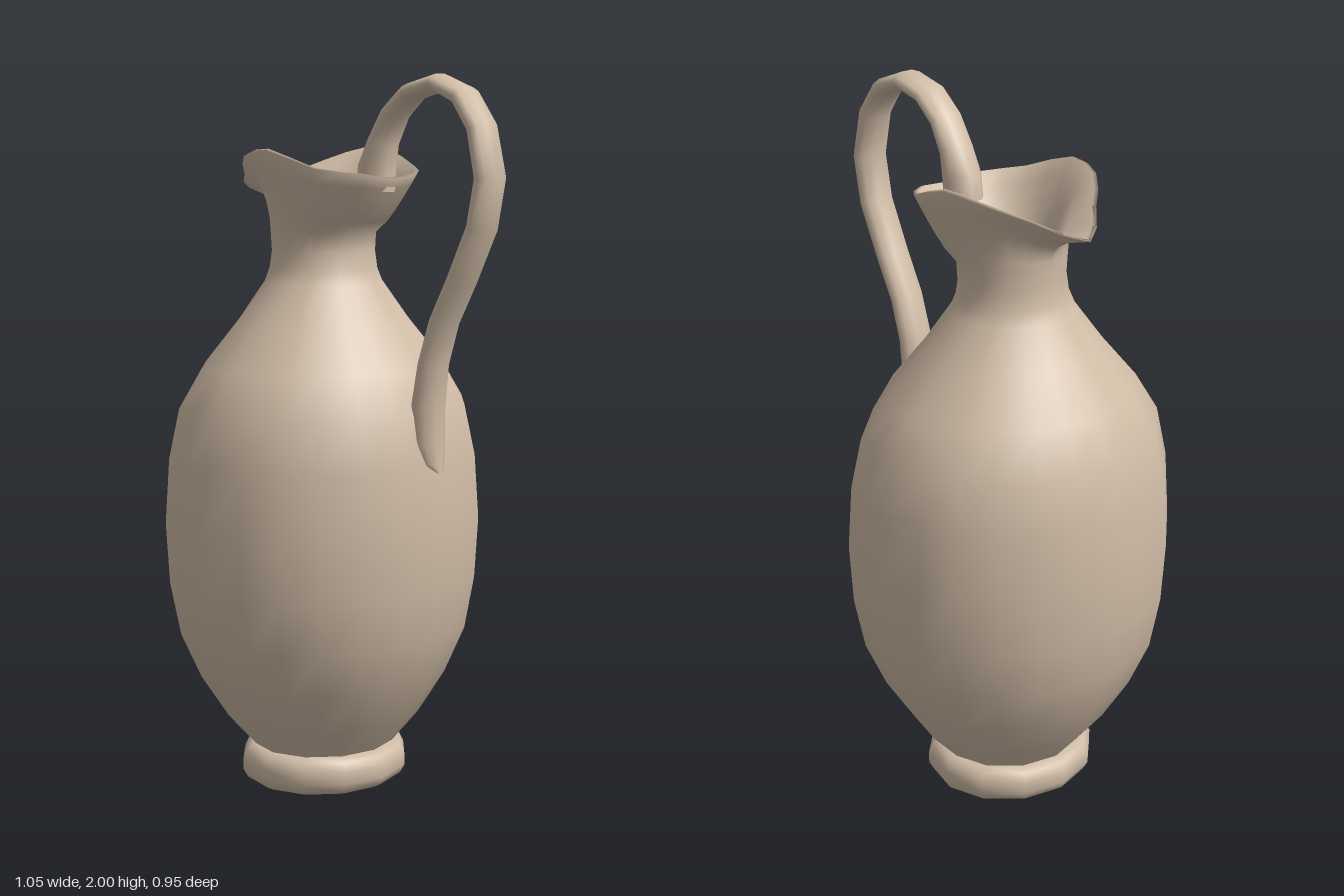
import * as THREE from 'three';

const SIDES = 24, CX = -0.1;

// Closed skin over rings of [x, y, z] points; the rings run upward with outward faces
function skin(rings, material, name) {
  const n = rings[0].length, index = [];
  for (let j = 0; j < rings.length - 1; j++)
    for (let i = 0; i < n; i++) {
      const k = (i + 1) % n;
      const a = j * n + i, b = j * n + k, c = a + n, d = b + n;
      index.push(a, c, b, b, c, d);
    }
  const g = new THREE.BufferGeometry();
  g.setAttribute('position', new THREE.Float32BufferAttribute(rings.flat(2), 3));
  g.setIndex(index);
  g.computeVertexNormals();
  const mesh = new THREE.Mesh(g, material);
  mesh.name = name;
  return mesh;
}

// Elliptical ring; the odd columns lie on the edges of a twelve-sided polygon
function ring(y, rx, rz) {
  return Array.from({ length: SIDES }, (_, i) => {
    const t = (i / SIDES) * Math.PI * 2, f = i % 2 ? Math.cos(Math.PI / 12) : 1;
    return [CX + rx * f * Math.cos(t), y, rz * f * Math.sin(t)];
  });
}

// Rim line from the handle side round to the spout, mirrored in z
const half = [[0.165, 1.72, 0], [0.15, 1.732, 0.105], [0.06, 1.748, 0.205], [-0.09, 1.797, 0.238],
  [-0.2, 1.78, 0.21], [-0.3, 1.73, 0.11], [-0.39, 1.682, 0]];
const rimPoints = [...half, ...half.slice(1, -1).reverse().map(([x, y, z]) => [x, y, -z])];
const rimCurve = new THREE.CatmullRomCurve3(rimPoints.map(p => new THREE.Vector3(...p)), true);
const rim = Array.from({ length: SIDES }, (_, i) => rimCurve.getPoint(i / SIDES).toArray());

// Flare from a neck ring towards the rim; the spout flares latest
function flare(neck, edge, v) {
  return neck.map((p, i) => {
    const k = (1 - Math.cos((i / SIDES) * Math.PI * 2)) / 2;
    const h = Math.pow(v, 0.75 + 3 * k ** 3);
    const q = edge[i];
    return [p[0] + (q[0] - p[0]) * h, p[1] + (q[1] - p[1]) * v, p[2] + (q[2] - p[2]) * h];
  });
}

function makeVessel(material) {
  // y, half width in x, half width in z
  const profile = [[0.09, 0.18, 0.195], [0.2, 0.268, 0.295], [0.32, 0.34, 0.375], [0.45, 0.395, 0.435],
    [0.6, 0.42, 0.467], [0.77, 0.43, 0.477], [0.95, 0.418, 0.465], [1.09, 0.388, 0.435],
    [1.2, 0.33, 0.365], [1.32, 0.237, 0.262], [1.43, 0.165, 0.178], [1.47, 0.151, 0.16], [1.52, 0.145, 0.152]];
  const outer = profile.map(p => ring(...p));
  const neck = ring(1.57, 0.148, 0.155);
  const inset = rim.map(([x, y, z]) => [CX + (x - CX) * 0.95, y + 0.004, z * 0.95]);
  const throat = ring(1.54, 0.1, 0.09);
  const steps = [0.2, 0.4, 0.6, 0.8];
  const rings = [
    ...outer, neck,
    ...steps.map(v => flare(neck, rim, v)), rim, inset,
    ...steps.slice().reverse().map(v => flare(throat, inset, v)), throat,
    ring(1.45, 0.11, 0.11),
    // inner wall and floor
    ...profile.slice(1, 10).reverse().map(([y, rx, rz]) => ring(y, rx - 0.05, rz - 0.05)),
    ring(0.14, 0.14, 0.15), ring(0.14, 0.0001, 0.0001),
  ];
  return skin(rings, material, 'vessel');
}

function makeHandle(material) {
  // x, y, half thickness, half width
  const path = [[0.095, 1.69, 0.06, 0.05], [0.1, 1.75, 0.055, 0.052], [0.123, 1.82, 0.035, 0.052],
    [0.165, 1.895, 0.028, 0.052], [0.23, 1.952, 0.025, 0.053], [0.32, 1.975, 0.025, 0.053],
    [0.405, 1.94, 0.028, 0.053], [0.462, 1.86, 0.03, 0.053], [0.491, 1.73, 0.033, 0.053],
    [0.466, 1.6, 0.033, 0.053], [0.4, 1.46, 0.032, 0.053], [0.34, 1.345, 0.031, 0.053],
    [0.304, 1.23, 0.033, 0.053], [0.286, 1.11, 0.042, 0.053], [0.29, 1.01, 0.038, 0.05],
    [0.305, 0.96, 0.026, 0.035], [0.33, 0.935, 0.004, 0.01]];
  const n = 10;
  const rings = path.map(([x, y, thick, wide], j) => {
    const a = path[Math.max(j - 1, 0)], b = path[Math.min(j + 1, path.length - 1)];
    // the lower end stays level as it sinks into the wall
    const t = j > 12 ? new THREE.Vector2(0, -1) : new THREE.Vector2(b[0] - a[0], b[1] - a[1]).normalize();
    return Array.from({ length: n }, (_, i) => {
      const s = ((i + 0.5) / n) * Math.PI * 2, c = Math.cos(s) * thick;
      return [x + t.y * c, y - t.x * c, (Math.sin(s) * wide)];
    });
  });
  return skin(rings, material, 'handle');
}

function makeFoot(material) {
  const foot = new THREE.Group();
  foot.name = 'foot';
  const pts = [[0.215, 0], [0.237, 0.012], [0.25, 0.035], [0.25, 0.07], [0.237, 0.095], [0.215, 0.108], [0.16, 0.11]];
  const band = new THREE.Mesh(new THREE.LatheGeometry(pts.map(p => new THREE.Vector2(...p)), 12), material);
  band.name = 'footRing';
  const base = new THREE.Mesh(new THREE.CircleGeometry(0.215, 12).rotateX(Math.PI / 2), material);
  base.name = 'footBase';
  foot.add(band, base);
  foot.scale.x = 0.92;
  foot.position.x = CX;
  return foot;
}

export function createModel() {
  const clay = new THREE.MeshStandardMaterial({ color: 0xd0bca6 });
  clay.name = 'clay';
  const model = new THREE.Group();
  model.name = 'pitcher';
  model.add(makeVessel(clay), makeHandle(clay), makeFoot(clay));
  return model;
}
